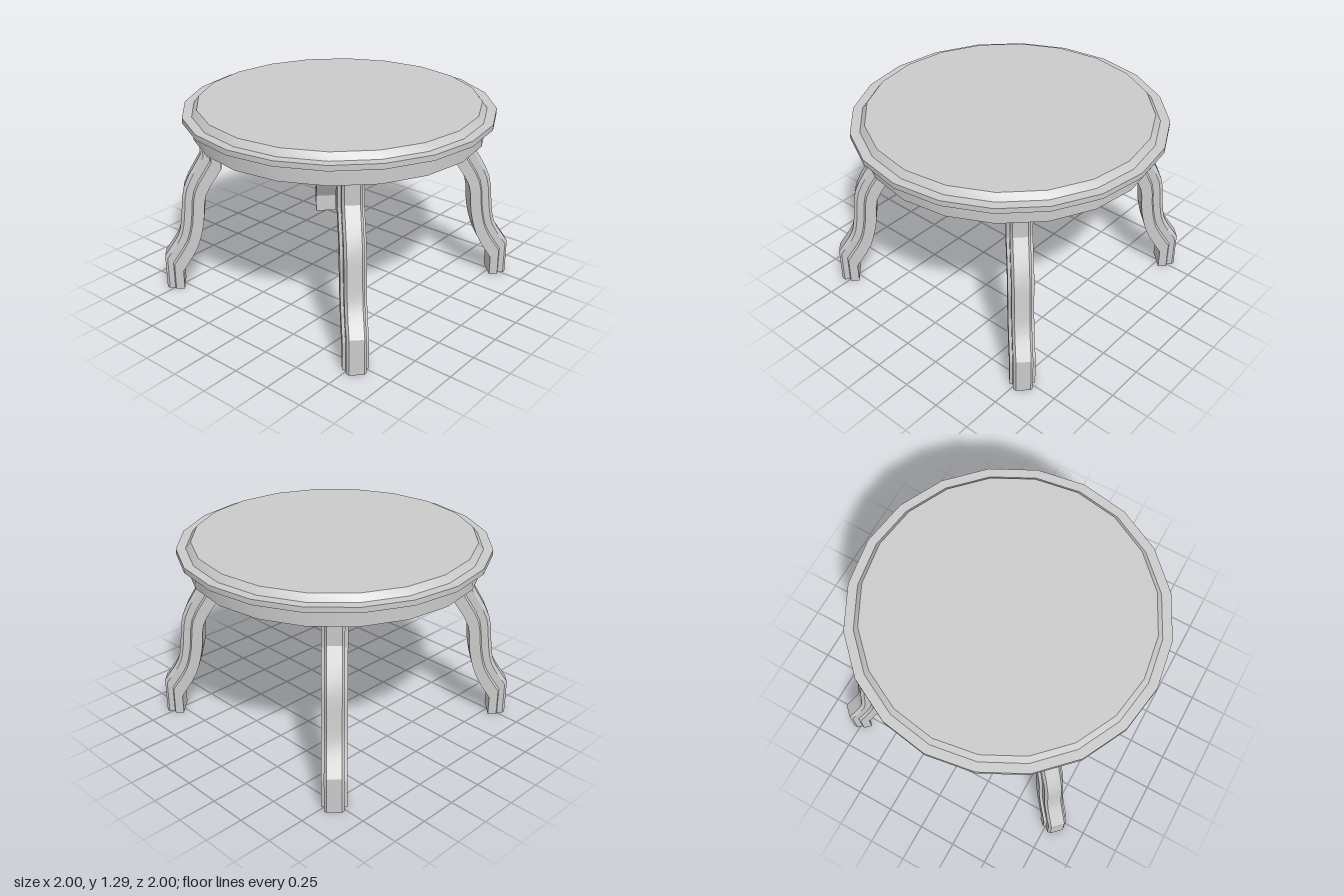
import * as THREE from 'three';
import { toCreasedNormals } from 'three/addons/utils/BufferGeometryUtils.js';

const CREASE = Math.PI / 7;
const material = new THREE.MeshStandardMaterial({ color: 0xcccccc });

function part(name, geometry) {
  const mesh = new THREE.Mesh(toCreasedNormals(geometry, CREASE), material);
  mesh.name = name;
  return mesh;
}

// Twenty-sided turned part from [radius, height] pairs
function turned(name, profile) {
  return part(name, new THREE.LatheGeometry(profile.map(([r, y]) => new THREE.Vector2(r, y)), 20));
}

// Smooth S-curve between the straight top and straight foot of a leg edge
function legEdge(top, bends, foot) {
  const v = ([r, y]) => new THREE.Vector3(r, y, 0);
  const curve = new THREE.CatmullRomCurve3(bends.map(v));
  const points = [v(top)];
  for (let i = 0; i <= 12; i++) points.push(curve.getPoint(i / 12));
  points.push(v(foot));
  return points;
}

// Leg running outwards along +x: moulded section swept between inner and outer edges
function legGeometry() {
  const inner = legEdge([0.76, 1.1],
    [[0.76, 0.865], [0.87, 0.68], [0.893, 0.49], [0.943, 0.31], [1.05, 0.13]], [1.05, 0]);
  const outer = legEdge([0.895, 1.1],
    [[0.89, 0.96], [1.01, 0.735], [1.04, 0.52], [1.065, 0.4], [1.167, 0.24]], [1.167, 0]);

  // Section: [depth from inner to outer edge, half width], mirrored
  const half = [[0, 0.078], [0.48, 0.078], [0.55, 0.06], [0.86, 0.06], [1, 0.045]];
  const section = [...half, ...half.map(([u, t]) => [u, -t]).reverse()];
  const n = section.length;

  const positions = [], index = [];
  inner.forEach((a, s) => {
    for (const [u, t] of section) {
      const p = a.clone().lerp(outer[s], u);
      positions.push(p.x, p.y, t);
    }
  });
  const last = (inner.length - 1) * n;
  const topCentre = positions.length / 3, footCentre = topCentre + 1;
  for (const s of [0, inner.length - 1]) {
    const p = inner[s].clone().lerp(outer[s], 0.4);
    positions.push(p.x, p.y, 0);
  }
  for (let i = 0; i < n; i++) {
    const j = (i + 1) % n;
    for (let k = 0; k < last; k += n) {
      index.push(k + i, k + n + i, k + j, k + j, k + n + i, k + n + j);
    }
    index.push(topCentre, i, j, footCentre, last + j, last + i);
  }
  const geometry = new THREE.BufferGeometry();
  geometry.setAttribute('position', new THREE.Float32BufferAttribute(positions, 3));
  geometry.setIndex(index);
  return geometry;
}

export function createModel() {
  const table = new THREE.Group();
  table.name = 'roundTable';

  // Round top with projecting rim and bevelled upper edge
  table.add(turned('tableTop',
    [[0.9, 1.215], [1, 1.215], [1, 1.25], [0.94, 1.25], [0.907, 1.292], [0, 1.292]]));
  table.add(turned('tableSkirt', [[0, 1.1], [0.937, 1.1], [0.937, 1.22]]));

  // Four legs on the diagonals
  const legs = new THREE.Group();
  legs.name = 'legs';
  legs.position.set(-0.004, 0, 0.008);
  const geometry = legGeometry();
  ['backLeftLeg', 'backRightLeg', 'frontRightLeg', 'frontLeftLeg'].forEach((name, i) => {
    const leg = part(name, geometry);
    leg.rotation.y = Math.PI / 4 + i * Math.PI / 2;
    legs.add(leg);
  });
  table.add(legs);
  return table;
}
